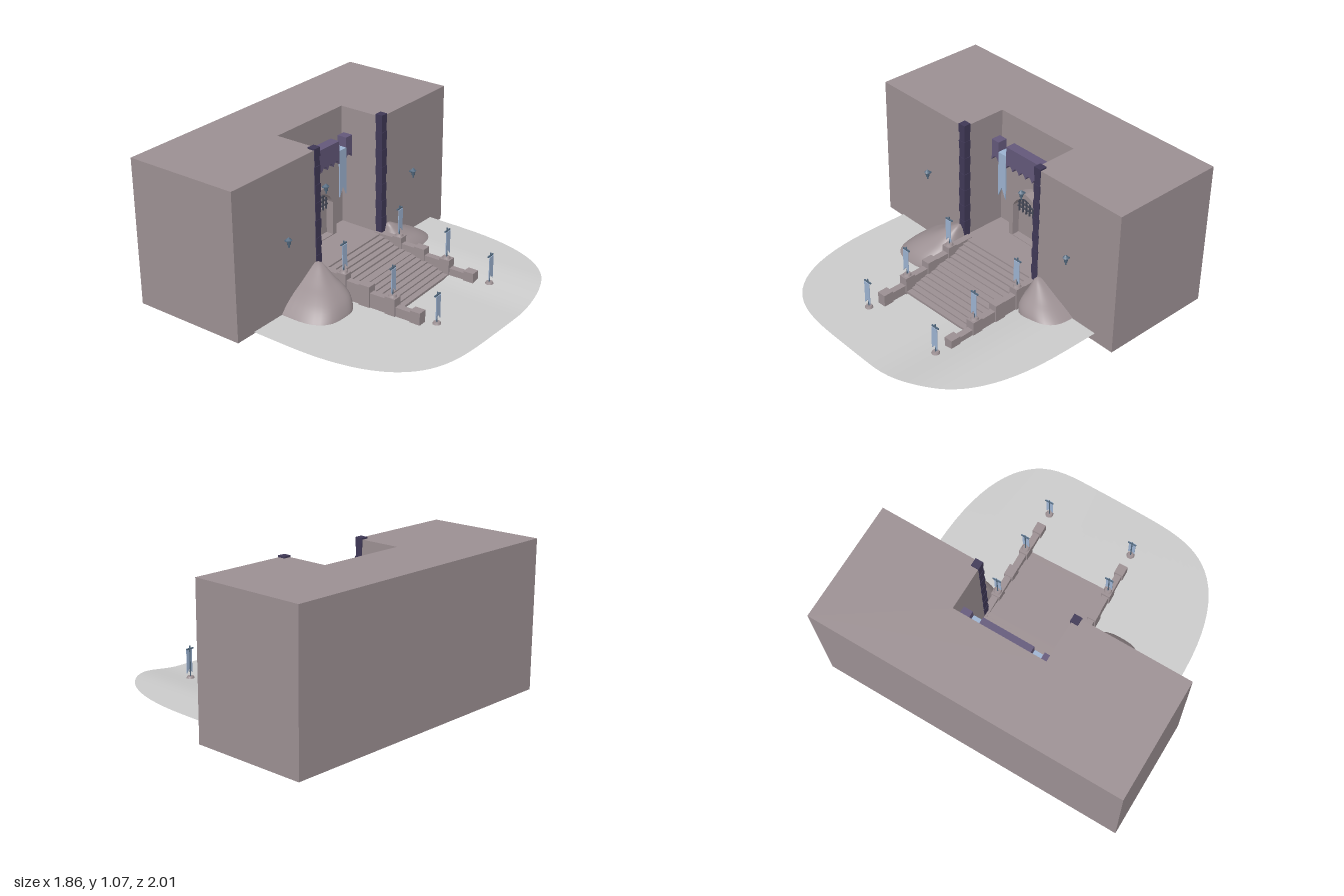
import * as THREE from 'three';

const mat = (name, color, extra = {}) => Object.assign(new THREE.MeshStandardMaterial({ color, ...extra }), { name });
const stone = mat('stone', 0x9b8f92);
const snow = mat('pale ground', 0xcacaca, { side: THREE.DoubleSide });
const darkPurple = mat('dark purple', 0x3f3856);
const purple = mat('purple cloth', 0x63587a);
const blue = mat('light blue cloth', 0x9cb2d0, { side: THREE.DoubleSide });
const slate = mat('slate metal', 0x536a80);
const iron = mat('dark iron', 0x474a58);

function add(parent, name, geo, material, x = 0, y = 0, z = 0) {
  const m = new THREE.Mesh(geo, material);
  m.name = name;
  m.position.set(x, y, z);
  parent.add(m);
  return m;
}
// box given by its lower and upper corners
function block(parent, name, material, x0, x1, y0, y1, z0, z1) {
  return add(parent, name, new THREE.BoxGeometry(x1 - x0, y1 - y0, z1 - z0), material, (x0 + x1) / 2, (y0 + y1) / 2, (z0 + z1) / 2);
}
const toShape = (pts) => new THREE.Shape(pts.map((p) => new THREE.Vector2(p[0], p[1])));
const extrude = (shape, depth) => new THREE.ExtrudeGeometry(shape, { depth, bevelEnabled: false, curveSegments: 10 });
// outline in (-z, y), facing +x, starting at depth x
function facing(parent, name, shape, depth, material, x, y = 0, z = 0) {
  const m = add(parent, name, extrude(shape, depth), material, x, y, z);
  m.rotation.y = Math.PI / 2;
  return m;
}

function lantern(parent, x, y, z) {
  const g = new THREE.Group();
  g.name = 'lantern';
  g.position.set(x, y, z);
  add(g, 'lanternCap', new THREE.ConeGeometry(0.021, 0.02, 6), slate, 0, 0.02, 0);
  add(g, 'lanternBody', new THREE.CylinderGeometry(0.015, 0.01, 0.03, 6), slate, 0, -0.005, 0);
  add(g, 'lanternFoot', new THREE.CylinderGeometry(0.006, 0.004, 0.018, 6), slate, 0, -0.03, 0);
  block(g, 'lanternBracket', slate, -0.03, 0, -0.006, 0.004, -0.004, 0.004);
  parent.add(g);
}

// pointed arch outline, half width w, from the floor up to spring and apex
function archPath(path, w, base, spring, apex) {
  path.moveTo(-w, base);
  path.lineTo(w, base);
  path.lineTo(w, spring);
  path.quadraticCurveTo(w * 0.8, spring + (apex - spring) * 0.7, 0, apex);
  path.quadraticCurveTo(-w * 0.8, spring + (apex - spring) * 0.7, -w, spring);
  return path;
}

// cloth strip with a scalloped lower edge
function scallops(w, top, low, n) {
  const s = new THREE.Shape();
  s.moveTo(-w / 2, top);
  s.lineTo(-w / 2, low);
  for (let i = 0; i < n; i++) {
    const a = -w / 2 + (w * i) / n, b = a + w / n;
    s.quadraticCurveTo((a + b) / 2, low + 0.06, b, low);
  }
  s.lineTo(w / 2, top);
  return s;
}

function swallowtail(w, top, low, notch) {
  return toShape([[-w / 2, top], [-w / 2, low], [0, low + notch], [w / 2, low], [w / 2, top]]);
}

function makeCastle() {
  const g = new THREE.Group();
  g.name = 'castle';
  g.rotation.y = 0.008;
  // wall mass with a gate recess
  const plan = toShape([[-0.923, -1], [-0.168, -1], [-0.168, -0.262], [-0.475, -0.262], [-0.475, 0.338], [-0.168, 0.338], [-0.168, 1], [-0.923, 1]]);
  const wall = add(g, 'wallMass', extrude(plan, 0.935), stone, 0, 0.12, 0);
  wall.rotation.x = -Math.PI / 2;
  block(g, 'recessFloor', stone, -0.475, -0.172, 0.121, 0.275, -0.338, 0.262);

  // block-built corner pillars
  for (const z of [-0.36, 0.28]) {
    const n = 14, h = 0.795 / n;
    for (let i = 0; i < n; i++) {
      const r = i % 2 ? 0.025 : 0.0225, y = 0.27 + i * h;
      block(g, 'pillarBlock', darkPurple, -0.187 - r, -0.187 + r, y, y + h, z - r, z + r);
    }
  }

  // gate frame and portcullis
  const mid = -0.036;
  const frame = archPath(new THREE.Shape(), 0.137, 0.275, 0.53, 0.625);
  frame.holes.push(archPath(new THREE.Path(), 0.105, 0.28, 0.5, 0.592));
  facing(g, 'gateFrame', frame, 0.08, stone, -0.474, 0, mid);
  block(g, 'gateDoor', stone, -0.474, -0.445, 0.275, 0.455, mid - 0.105, mid + 0.105);
  for (let i = -3; i <= 3; i++) {
    const z = mid + i * 0.03;
    block(g, 'portcullisBar', iron, -0.44, -0.43, 0.45, 0.585 - Math.abs(i) * 0.018, z - 0.004, z + 0.004);
  }
  [0.48, 0.51, 0.54].forEach((y, i) => {
    const w = 0.105 - (i === 2 ? 0.025 : 0);
    block(g, 'portcullisRail', iron, -0.443, -0.433, y - 0.004, y + 0.004, mid - w, mid + w);
  });
  lantern(g, -0.36, 0.645, mid);

  // valance and hanging banners
  facing(g, 'valance', scallops(0.337, 0.887, 0.735, 6), 0.066, purple, -0.455, 0, mid);
  for (const s of [-1, 1]) {
    facing(g, 'sideValance', scallops(0.06, 0.887, 0.745, 1), 0.066, purple, -0.455, 0, mid + s * 0.266);
    facing(g, 'longBanner', swallowtail(0.066, 0.822, 0.51, 0.07), 0.008, blue, -0.395, 0, mid + s * 0.202);
    block(g, 'bannerTop', blue, -0.455, -0.39, 0.81, 0.822, mid + s * 0.202 - 0.033, mid + s * 0.202 + 0.033);
  }
  for (const z of [-0.635, 0.575]) lantern(g, -0.14, 0.595, z);
  return g;
}

function bannerStand(parent, x, y, z) {
  const g = new THREE.Group();
  g.name = 'bannerStand';
  g.position.set(x, y, z);
  add(g, 'standBase', new THREE.CylinderGeometry(0.02, 0.026, 0.012, 10), stone, 0, 0.006, 0);
  add(g, 'standPole', new THREE.CylinderGeometry(0.004, 0.004, 0.2, 6), slate, 0, 0.105, 0);
  block(g, 'standCrossbar', slate, -0.004, 0.004, 0.182, 0.19, -0.028, 0.028);
  facing(g, 'standBanner', swallowtail(0.044, 0.182, 0.03, 0.03), 0.004, blue, 0.005);
  parent.add(g);
}

function makeStairs() {
  const g = new THREE.Group();
  g.name = 'stairs';
  g.rotation.y = 0.042;
  g.position.z = -0.06;
  // two flights of steps with a landing between
  const flight = (x0, x1, y0, y1, n) => {
    for (let i = 0; i < n; i++) {
      const a = x0 + ((x1 - x0) * i) / n, b = x0 + ((x1 - x0) * (i + 1)) / n;
      block(g, 'step', stone, a, b, 0.135, y0 + ((y1 - y0) * i) / (n - 1), -0.272, 0.272);
    }
  };
  flight(-0.2, 0.03, 0.275, 0.22, 6);
  block(g, 'landing', stone, 0.03, 0.08, 0.135, 0.212, -0.272, 0.272);
  flight(0.08, 0.35, 0.206, 0.15, 7);

  // stepped side rails with posts
  const rail = toShape([[-0.2, 0.1], [0, 0.1], [0.25, 0.055], [0.5, 0.005], [0.5, 0.19], [0.34, 0.19], [0.34, 0.225],
    [0.16, 0.225], [0.16, 0.255], [0, 0.255], [0, 0.28], [-0.2, 0.28]]);
  const posts = [[-0.06, 0.005, 0.1, 0.295], [0.1, 0.175, 0.075, 0.267], [0.285, 0.355, 0.04, 0.243], [0.46, 0.528, 0, 0.208]];
  for (const s of [-1, 1]) {
    const z = s * 0.291;
    add(g, 'sideRail', extrude(rail, 0.042), stone, 0, 0, z - 0.021);
    for (const [x0, x1, y0, y1] of posts) block(g, 'railPost', stone, x0, x1, y0, y1, z - 0.029, z + 0.029);
    bannerStand(g, -0.027, 0.295, z);
    bannerStand(g, 0.32, 0.243, z);
    bannerStand(g, 0.625, 0.165, z);
  }
  return g;
}

// rounded ground sheet that rises towards the back
function makeGround() {
  const nu = 40, nv = 48;
  const geo = new THREE.PlaneGeometry(1, 1, nu, nv).rotateX(-Math.PI / 2);
  const p = geo.attributes.position;
  for (let i = 0; i < p.count; i++) {
    const t = Math.sin((p.getZ(i) * 2 * Math.PI) / 2);
    const z = 0.867 * t;
    const xMax = 0.05 + 0.88 * Math.pow(Math.max(0, 1 - Math.pow(Math.abs(t), 4)), 0.42);
    const x = -0.17 + (p.getX(i) + 0.5) * (xMax + 0.17);
    p.setXYZ(i, x, 0.13 + 0.053 * THREE.MathUtils.smoothstep(-z, 0.2, 0.62), z);
  }
  geo.computeVertexNormals();
  return geo;
}

// smooth mound whose top leans towards a peak
function mound(parent, cx, cz, rx, rz, h, px, pz) {
  const profile = [[0, 0], [0.75, 0], [0.93, 0.02], [1, 0.08], [0.98, 0.2], [0.88, 0.38], [0.7, 0.54], [0.5, 0.67], [0.3, 0.82], [0.13, 0.95], [0, 1]];
  const curve = new THREE.SplineCurve(profile.map((q) => new THREE.Vector2(q[0], q[1])));
  const pts = curve.getPoints(30).map((q) => new THREE.Vector2(Math.max(0, q.x), q.y));
  const geo = new THREE.LatheGeometry(pts, 40);
  const p = geo.attributes.position;
  for (let i = 0; i < p.count; i++) {
    const y = p.getY(i), x = p.getX(i), z = p.getZ(i);
    // squared-off footprint
    const r = Math.hypot(x, z) || 1, k = 1 + 0.45 * Math.pow((x * z) / (r * r), 2);
    p.setXYZ(i, cx + x * k * rx + (px - cx) * y, 0.095 + y * h, cz + z * k * rz + (pz - cz) * y);
  }
  geo.computeVertexNormals();
  add(parent, 'rockMound', geo, stone);
}

export function createModel() {
  const model = new THREE.Group();
  model.name = 'castleGate';
  model.add(makeCastle(), makeStairs());
  add(model, 'ground', makeGround(), snow);
  mound(model, -0.11, 0.455, 0.26, 0.19, 0.255, -0.15, 0.3);
  mound(model, -0.19, -0.575, 0.215, 0.195, 0.235, -0.16, -0.4);
  return model;
}
